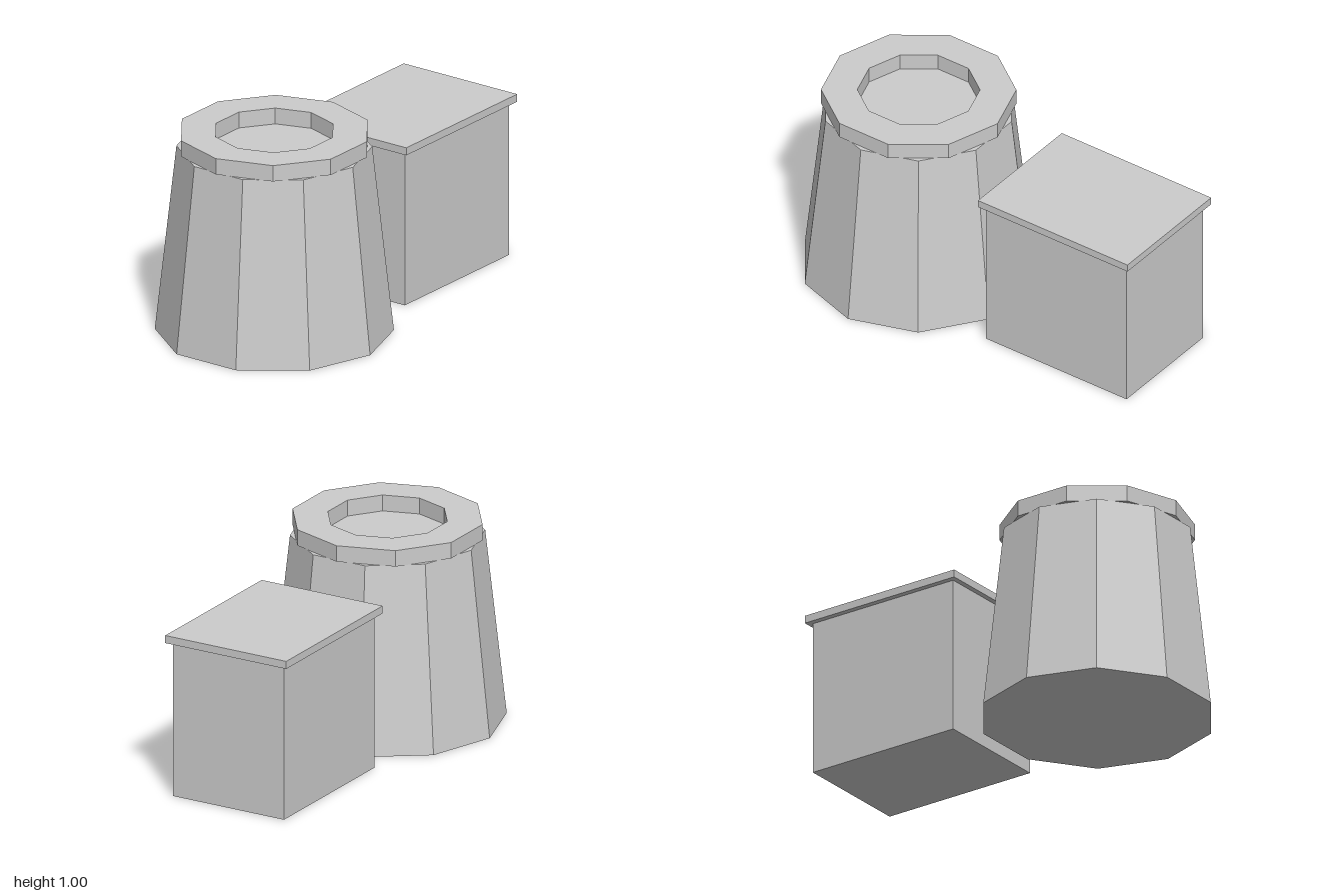
import * as THREE from 'three';

const SIDES = 10;

// Regular polygon outline with a corner on the x axis
function polygon(radius) {
  const points = [];
  for (let i = 0; i < SIDES; i++) {
    const a = (i / SIDES) * Math.PI * 2;
    points.push(new THREE.Vector2(Math.cos(a) * radius, Math.sin(a) * radius));
  }
  return points;
}

export function createModel() {
  const model = new THREE.Group();
  const grey = new THREE.MeshStandardMaterial({ color: 0xcccccc, flatShading: true });
  grey.name = 'light grey';

  function add(parent, name, geometry, x, y, z = 0) {
    const mesh = new THREE.Mesh(geometry, grey);
    mesh.name = name;
    mesh.position.set(x, y, z);
    parent.add(mesh);
    return mesh;
  }

  // Tapered ten-sided tower, a corner facing the front
  const tower = new THREE.Group();
  tower.name = 'tower';
  tower.position.x = -0.465;
  const towerHeight = 0.925;
  add(tower, 'towerBody', new THREE.CylinderGeometry(0.461, 0.563, towerHeight, SIDES), 0, towerHeight / 2);

  // Open rim, turned half a side from the body
  const rimShape = new THREE.Shape(polygon(0.46));
  rimShape.holes.push(new THREE.Path(polygon(0.289)));
  const rim = new THREE.ExtrudeGeometry(rimShape, { depth: 0.08, bevelEnabled: false });
  rim.rotateX(-Math.PI / 2);
  add(tower, 'towerRim', rim, 0, towerHeight);

  // Box building with an overhanging flat roof
  const annex = new THREE.Group();
  annex.name = 'annex';
  annex.position.x = 0.562;
  add(annex, 'annexWalls', new THREE.BoxGeometry(0.82, 0.772, 0.611), 0, 0.386);
  add(annex, 'annexRoof', new THREE.BoxGeometry(0.872, 0.038, 0.667), 0, 0.791);

  model.add(tower, annex);
  return model;
}
